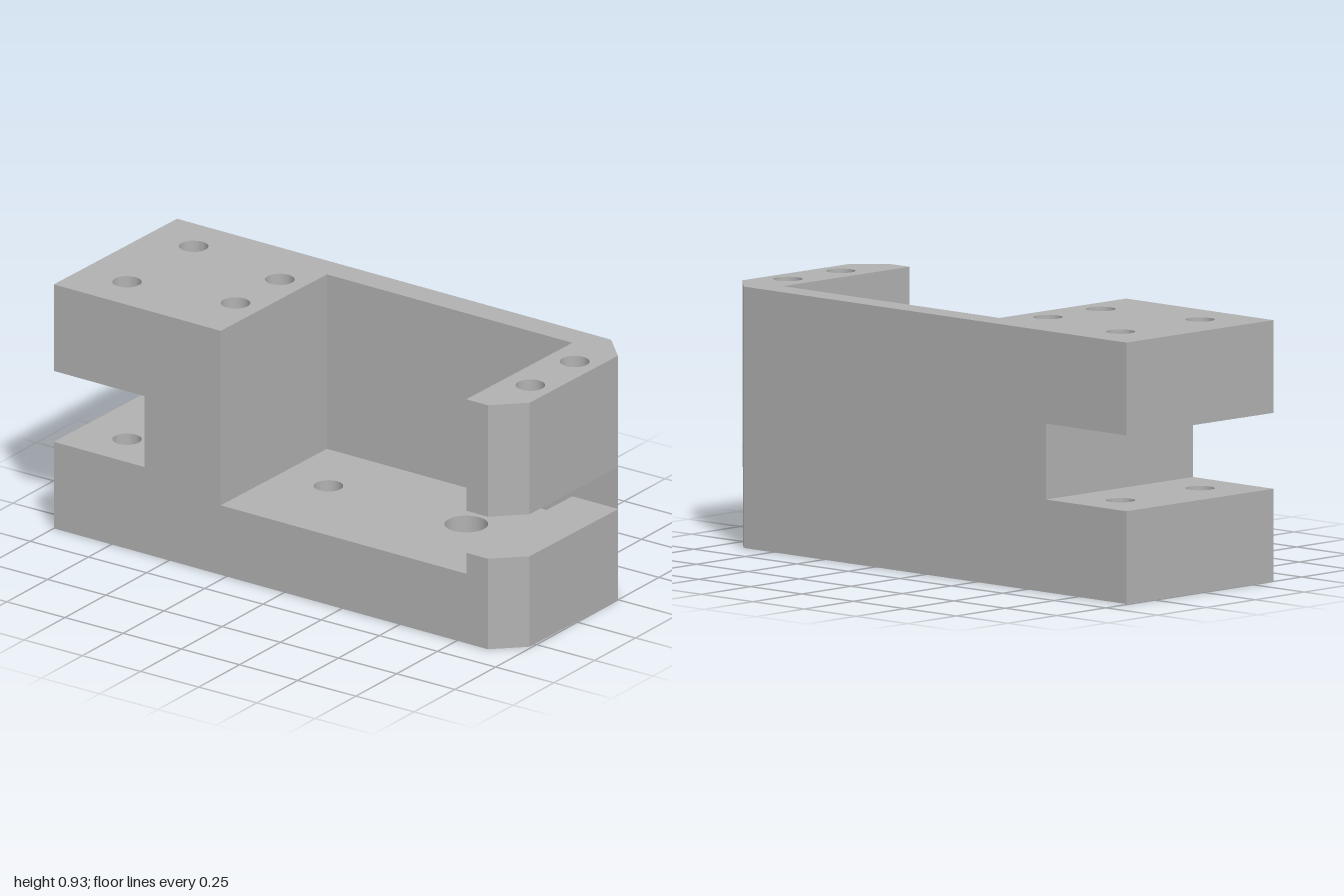
import * as THREE from 'three';
import { toCreasedNormals } from 'three/addons/utils/BufferGeometryUtils.js';

const L = 0.995, W = 0.37;          // half length and half width of the block
const CH = 0.105;                   // corner chamfer
const PL = -0.27, PR = 0.796;       // pocket ends
const PB = -0.267;                  // pocket back
const FLOOR = 0.265, TOP = 0.93;    // pocket floor and block top
const R = 0.052;                    // standard hole radius

// Extrudes a plan outline of [x, z] points from y0 to y1, with round holes [x, z, r]
function slab(name, material, y0, y1, outline, holes = []) {
  const shape = new THREE.Shape(outline.map(([x, z]) => new THREE.Vector2(x, -z)));
  for (const [x, z, r] of holes) {
    shape.holes.push(new THREE.Path().absarc(x, -z, r, 0, Math.PI * 2, true));
  }
  const geometry = new THREE.ExtrudeGeometry(shape, {
    depth: y1 - y0, bevelEnabled: false, curveSegments: 18,
  });
  geometry.rotateX(-Math.PI / 2).translate(0, y0, 0);
  const mesh = new THREE.Mesh(toCreasedNormals(geometry, 0.5), material);
  mesh.name = name;
  return mesh;
}

const rect = (x0, x1, z0, z1) => [[x0, z0], [x0, z1], [x1, z1], [x1, z0]];
const pair = (x, z) => [[x, -z, R], [x, z, R]];

export function createModel() {
  const steel = new THREE.MeshStandardMaterial({ color: 0xb2b2b2 });
  steel.name = 'machined grey';

  // Plan outlines
  const full = [[-L, -W], [-L, W], [L - CH, W], [L, W - CH], [L, -W + CH], [L - CH, -W]];
  const jaw = rect(-L, PL, -W, W);
  const web = rect(-0.6, PL, -W, W);
  const wall = [[PL, -W], [PL, PB], [L, PB], [L, -W + CH], [L - CH, -W]];
  const post = [[PR, PB], [PR, W], [L - CH, W], [L, W - CH], [L, PB]];

  // Hole patterns
  const clampHoles = pair(-0.8, 0.2);
  const innerHoles = pair(-0.377, 0.133);
  const postHoles = pair(0.903, 0.133);
  const floorHoles = [[-0.067, 0.004, R], [0.53, 0.002, 0.077]];

  const body = new THREE.Group();
  body.name = 'block';
  body.add(
    slab('base', steel, 0, FLOOR, full, [...clampHoles, ...floorHoles]),
    // Slotted end: lower jaw, web behind the slot, upper jaw
    slab('lowerJaw', steel, FLOOR, 0.33, jaw, clampHoles),
    slab('jawWeb', steel, 0.33, 0.6, web),
    slab('upperJaw', steel, 0.6, TOP, jaw, [...clampHoles, ...innerHoles]),
    // Pocket back and the split end post
    slab('backWall', steel, FLOOR, TOP, wall),
    slab('lowerPost', steel, FLOOR, 0.345, post),
    slab('upperPostFoot', steel, 0.505, 0.6, post),
    slab('upperPost', steel, 0.6, TOP, post, postHoles),
  );
  body.rotation.y = -0.0145;        // the block sits very slightly turned

  const model = new THREE.Group();
  model.name = 'slottedMountingBlock';
  model.add(body);
  return model;
}
